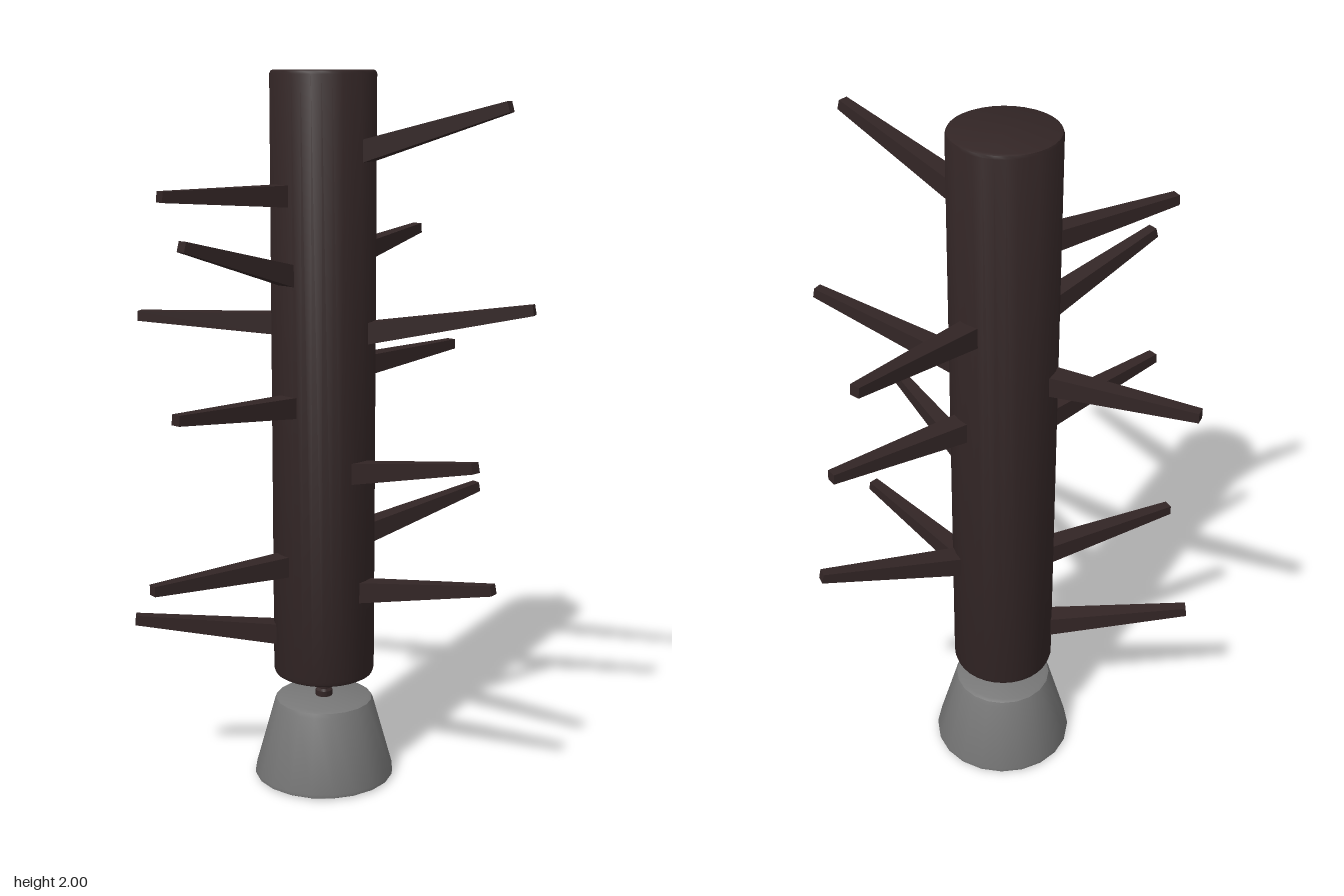
import * as THREE from 'three';
import { toCreasedNormals } from 'three/addons/utils/BufferGeometryUtils.js';

const CX = -0.05, CZ = -0.01; // axis of the trunk

export function createModel() {
  const group = new THREE.Group();
  const bark = new THREE.MeshStandardMaterial({ color: 0x322525 });
  bark.name = 'dark bark';
  const stone = new THREE.MeshStandardMaterial({ color: 0x777777 });
  stone.name = 'grey base';

  const add = (name, geometry, material) => {
    const mesh = new THREE.Mesh(geometry, material);
    mesh.name = name;
    group.add(mesh);
    return mesh;
  };

  // Round parts turned from a profile of [radius, height]
  const turned = (name, profile, sides, material) => {
    const points = profile.map(([r, y]) => new THREE.Vector2(r, y));
    const geometry = toCreasedNormals(new THREE.LatheGeometry(points, sides), 0.6);
    add(name, geometry, material).position.set(CX, 0, CZ);
  };
  turned('base', [[0, 0.005], [0.19, 0.005], [0.199, 0.01], [0.2, 0.02], [0.143, 0.225],
    [0.138, 0.237], [0.128, 0.242], [0, 0.242]], 20, stone);
  turned('pin', [[0, 0.235], [0.024, 0.235], [0.024, 0.258], [0.018, 0.264], [0.018, 0.33]], 16, bark);
  turned('trunk', [[0, 0.315], [0.13, 0.315], [0.139, 0.32], [0.143, 0.332], [0.143, 1.99],
    [0.14, 1.997], [0.134, 2], [0, 2]], 32, bark);

  // Tapered square branches: tip x, y, z and height where it leaves the trunk
  const branches = [
    [0.48, 1.91, -0.27 + 0.12, 1.79],
    [0.48, 1.39, -0.265, 1.305],
    [0.51, 1.015, -0.01, 0.925],
    [0.485, 0.66, -0.12, 0.58],
    [-0.20, 1.54, -0.54, 1.495],
    [-0.06, 1.205, -0.545, 1.19],
    [0.06, 0.79, -0.535, 0.71],
    [-0.10, 1.69, 0.505, 1.675],
    [-0.035, 1.57, 0.49, 1.465],
    [-0.51, 1.325, 0.27, 1.32],
    [-0.01, 1.14, 0.54, 1.11],
    [-0.125, 0.663, 0.54, 0.657],
    [-0.365, 0.495, 0.42, 0.44],
  ];
  for (const [x, y, z, rootY] of branches) {
    const tip = new THREE.Vector3(x, y, z);
    const out = new THREE.Vector3(x - CX, 0, z - CZ).normalize();
    const root = new THREE.Vector3(CX, rootY, CZ).addScaledVector(out, 0.13);
    const length = root.distanceTo(tip);
    const geometry = new THREE.CylinderGeometry(0.014 * Math.SQRT2, 0.029 * Math.SQRT2, length, 4)
      .rotateY(Math.PI / 4).rotateX(Math.PI / 2).translate(0, 0, length / 2);
    const branch = add('branch', toCreasedNormals(geometry, 0.5), bark);
    branch.position.copy(root);
    branch.lookAt(tip);
  }
  return group;
}
